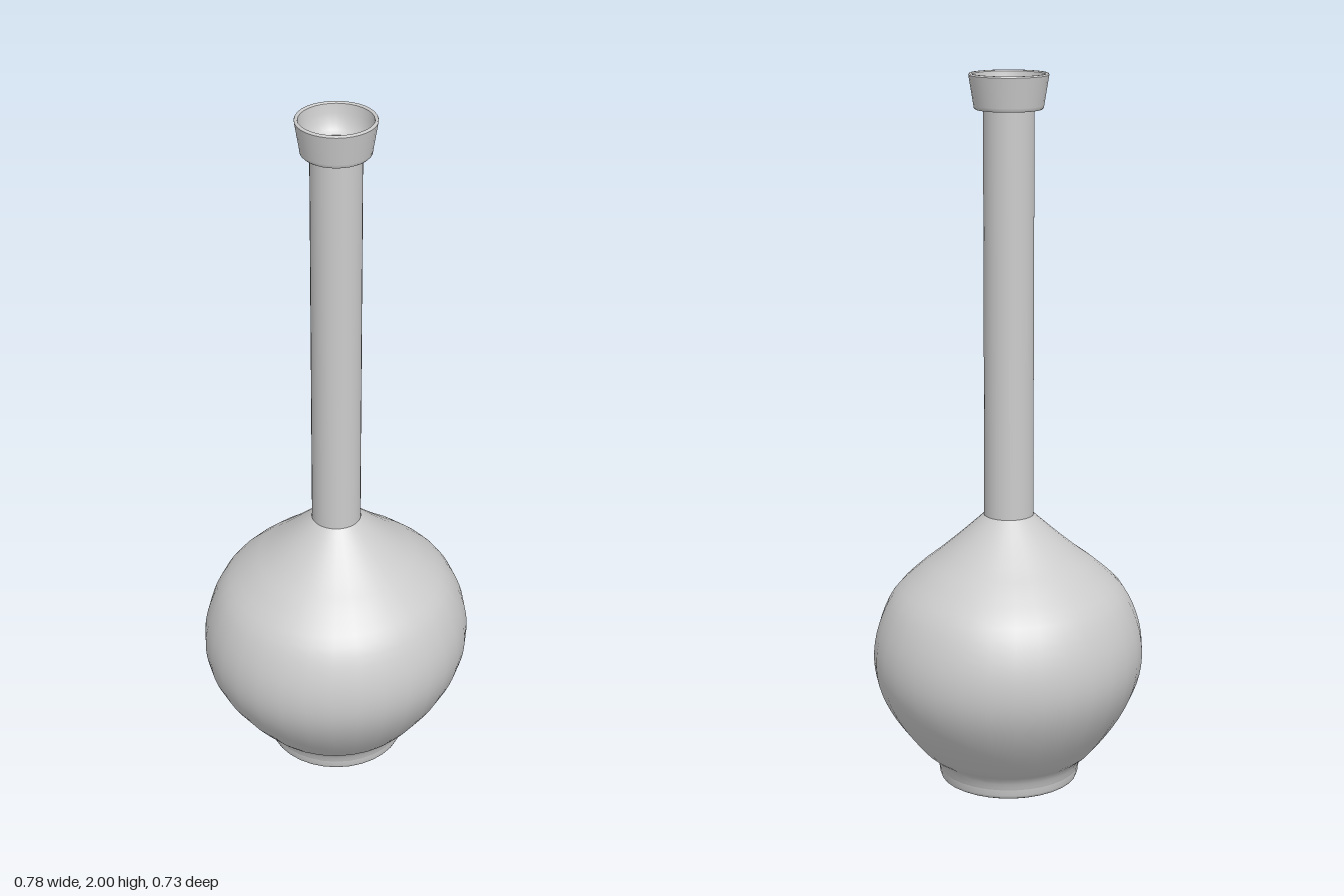
import * as THREE from 'three';

const SIDES = 32;
const material = new THREE.MeshStandardMaterial({ color: 0xcccccc, side: THREE.DoubleSide });

// Revolves [radius, height] points; smooth shading within one piece
function turned(points) {
  return new THREE.LatheGeometry(points.map(([r, y]) => new THREE.Vector2(r, y)), SIDES);
}

export function createModel() {
  const group = new THREE.Group();
  const add = (name, geometry) => {
    const mesh = new THREE.Mesh(geometry, material);
    mesh.name = name;
    group.add(mesh);
  };

  // Bulb: round at the foot and neck, slightly flattened front to back between
  const curve = new THREE.SplineCurve([
    [0.2, 0.03], [0.215, 0.065], [0.255, 0.1], [0.33, 0.195], [0.377, 0.285], [0.392, 0.37],
    [0.378, 0.46], [0.335, 0.55], [0.262, 0.62], [0.2, 0.668], [0.135, 0.722], [0.07, 0.78],
  ].map(([r, y]) => new THREE.Vector2(r, y)));
  const body = new THREE.LatheGeometry(curve.getPoints(36), SIDES);
  const pos = body.attributes.position;
  for (let i = 0; i < pos.count; i++) {
    const t = THREE.MathUtils.clamp((pos.getY(i) - 0.03) / 0.75, 0, 1);
    pos.setZ(i, pos.getZ(i) * (1 - 0.07 * Math.sin(Math.PI * t)));
  }
  add('body', body);

  // Foot ring with a small rounded lower edge, and flat base
  add('foot', turned([[0.188, 0], [0.195, 0.004], [0.198, 0.012], [0.2, 0.03]]));
  add('base', turned([[0, 0], [0.188, 0]]));

  // Hollow neck
  add('neck', turned([[0.069, 0.77], [0.069, 1.92]]));
  add('neckInside', turned([[0.057, 1.9], [0.057, 0.77]]));
  add('neckLowerEdge', turned([[0.057, 0.77], [0.069, 0.77]]));

  // Flared collar at the mouth
  add('collarUnderside', turned([[0.069, 1.905], [0.09, 1.905]]));
  add('collarBevel', turned([[0.09, 1.905], [0.094, 1.909], [0.095, 1.917]]));
  add('collarWall', turned([[0.095, 1.917], [0.108, 1.996]]));
  add('collarRim', turned([[0.108, 1.996], [0.106, 2], [0.1, 2], [0.098, 1.997]]));
  add('collarBowl', turned([[0.098, 1.997], [0.094, 1.972], [0.087, 1.95], [0.077, 1.933], [0.065, 1.924]]));
  add('collarThroat', turned([[0.065, 1.924], [0.065, 1.9], [0.057, 1.9]]));

  return group;
}
